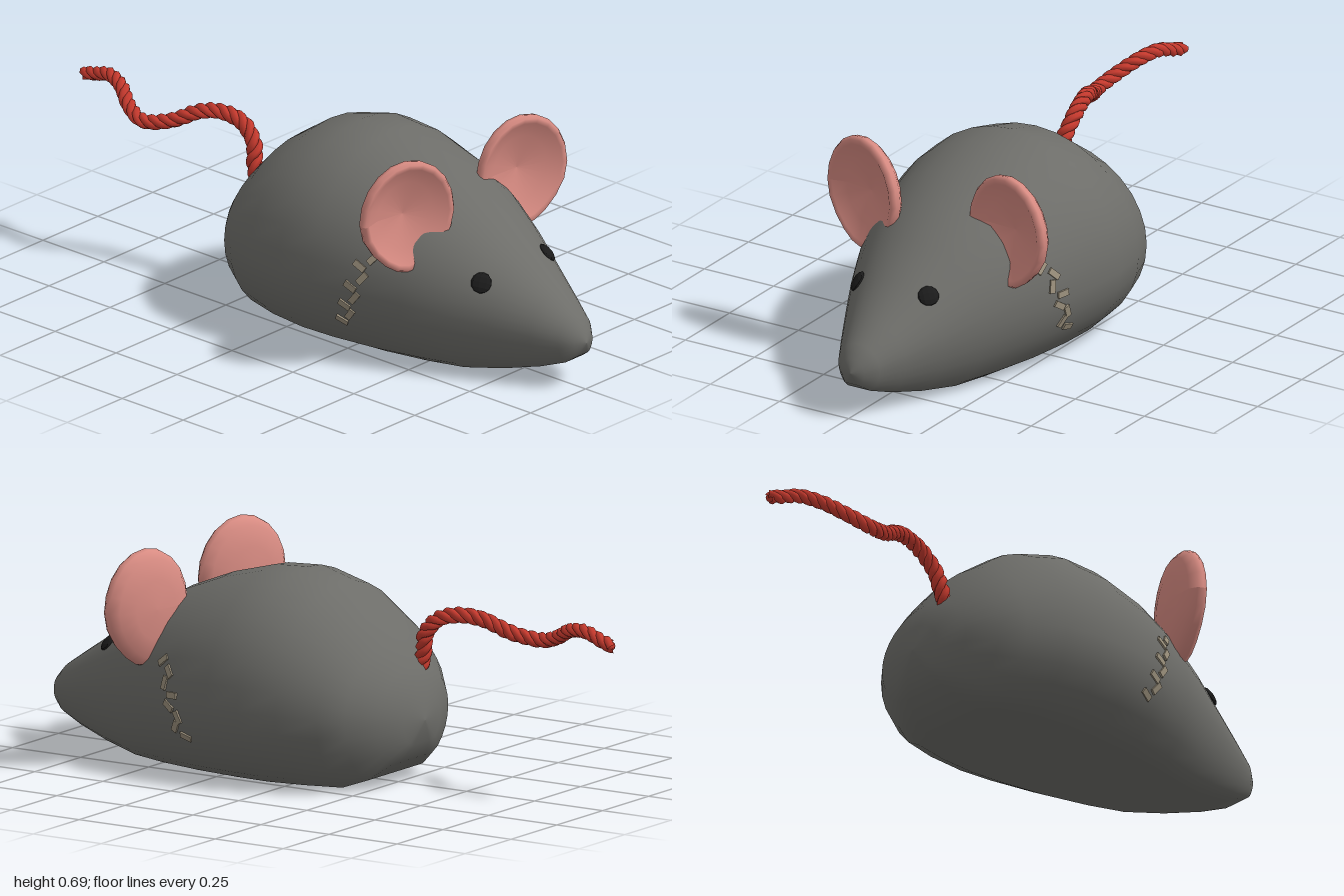
import * as THREE from 'three';

const mat = (name, color, extra = {}) => Object.assign(new THREE.MeshStandardMaterial({ color, ...extra }), { name });

// Body sections: x, bottom y, top y, widest y, half width
const SECTIONS = [
  [-0.352, 0.21, 0.21, 0.21, 0], [-0.34, 0.14, 0.29, 0.21, 0.1], [-0.305, 0.085, 0.37, 0.22, 0.195],
  [-0.24, 0.035, 0.445, 0.23, 0.275], [-0.17, 0.01, 0.52, 0.24, 0.325], [-0.05, 0.008, 0.602, 0.25, 0.372],
  [0.08, 0.005, 0.637, 0.25, 0.388], [0.2, 0.005, 0.63, 0.25, 0.38], [0.35, 0.005, 0.59, 0.245, 0.35],
  [0.5, 0.006, 0.53, 0.235, 0.298], [0.62, 0.01, 0.46, 0.215, 0.245], [0.75, 0.032, 0.37, 0.195, 0.18],
  [0.87, 0.062, 0.29, 0.175, 0.118], [0.95, 0.09, 0.235, 0.162, 0.075], [0.985, 0.115, 0.197, 0.155, 0.042],
  [1, 0.155, 0.155, 0.155, 0]
];

// Point on the body at a given x and angle around it (0 is +z, a quarter turn is up)
function surface(x, a) {
  let i = 0;
  while (i < SECTIONS.length - 2 && SECTIONS[i + 1][0] < x) i++;
  const p = SECTIONS[i], q = SECTIONS[i + 1];
  const t = (x - p[0]) / (q[0] - p[0]);
  const [, bottom, top, mid, half] = p.map((v, k) => v + (q[k] - v) * t);
  const s = Math.sin(a);
  const y = s > 0 ? mid + (top - mid) * s : Math.max(bottom, mid + 1.25 * (mid - bottom) * s);
  return new THREE.Vector3(x, y, half * Math.cos(a) - 0.006);
}

function surfaceNormal(x, a) {
  const dx = surface(x + 0.02, a).sub(surface(x - 0.02, a));
  const da = surface(x, a + 0.05).sub(surface(x, a - 0.05));
  return dx.cross(da).normalize();
}

function bodyGeometry(n = 32) {
  const pos = [], index = [];
  SECTIONS.forEach(([x], i) => {
    for (let j = 0; j < n; j++) {
      pos.push(...surface(x, j / n * Math.PI * 2).toArray());
      if (i === SECTIONS.length - 1) continue;
      const a = i * n + j, b = i * n + (j + 1) % n;
      index.push(a, a + n, b + n, a, b + n, b);
    }
  });
  const g = new THREE.BufferGeometry();
  g.setAttribute('position', new THREE.Float32BufferAttribute(pos, 3));
  g.setIndex(index);
  g.computeVertexNormals();
  return g;
}

// Cupped round ear facing +x, narrowing towards its root
function earGeometry() {
  const profile = [[0, -0.04], [0.5, -0.037], [0.85, -0.022], [0.98, 0], [1, 0.018], [0.95, 0.032],
    [0.86, 0.028], [0.6, 0.002], [0, -0.015]].map(([r, h]) => new THREE.Vector2(r, h));
  const g = new THREE.LatheGeometry(profile, 20).rotateZ(-Math.PI / 2);
  const p = g.attributes.position;
  for (let i = 0; i < p.count; i++) {
    const y = p.getY(i), pinch = y < 0 ? 1 - 0.3 * y * y : 1;
    p.setXYZ(i, p.getX(i), y * 0.183, p.getZ(i) * 0.163 * pinch);
  }
  g.computeVertexNormals();
  return g;
}

// One strand wound round the tail's path
function strandGeometry(path, phase) {
  const frames = path.computeFrenetFrames(160);
  const pts = [];
  for (let i = 0; i <= 160; i++) {
    const t = i / 160, a = phase + t * Math.PI * 2 * 9, r = 0.014 - 0.005 * t;
    pts.push(path.getPointAt(t)
      .addScaledVector(frames.normals[i], r * Math.cos(a))
      .addScaledVector(frames.binormals[i], r * Math.sin(a)));
  }
  return new THREE.TubeGeometry(new THREE.CatmullRomCurve3(pts), 180, 0.0135, 6);
}

export function createModel() {
  const grey = mat('greyFelt', 0x6d6d69);
  const pink = mat('pinkFelt', 0xd98c83);
  const red = mat('redCord', 0xc83a2e);
  const black = mat('blackBead', 0x1b1b1b, { flatShading: true });
  const beige = mat('beigeThread', 0x9c917d);
  const model = new THREE.Group();
  model.name = 'toyMouse';
  const add = (name, geometry, material, parent = model) => {
    const m = new THREE.Mesh(geometry, material);
    m.name = name;
    parent.add(m);
    return m;
  };

  add('body', bodyGeometry(), grey);

  // Ears, both turned the same way
  const ear = earGeometry();
  for (const [name, z, y, yaw] of [['rightEar', 0.257, 0.517, -0.32], ['leftEar', -0.265, 0.505, -0.24]]) {
    const m = add(name, ear, pink);
    m.position.set(0.49, y, z);
    m.rotation.y = yaw;
  }

  // Bead eyes pressed onto the head
  const bead = new THREE.SphereGeometry(0.033, 9, 6);
  for (const [name, x, a] of [['rightEye', 0.71, 0.66], ['leftEye', 0.735, Math.PI - 0.92]]) {
    const m = add(name, bead, black);
    m.position.copy(surface(x, a));
    m.quaternion.setFromUnitVectors(new THREE.Vector3(0, 0, 1), surfaceNormal(x, a));
    m.scale.z = 0.4;
  }

  // Twisted cord tail
  const path = new THREE.CatmullRomCurve3([
    [-0.28, 0.34, 0.07], [-0.3, 0.41, 0.065], [-0.31, 0.46, 0.055], [-0.36, 0.515, 0.05], [-0.43, 0.535, 0.065],
    [-0.5, 0.525, 0.09], [-0.58, 0.485, 0.13], [-0.67, 0.468, 0.162], [-0.74, 0.49, 0.145],
    [-0.81, 0.525, 0.105], [-0.88, 0.535, 0.08], [-0.95, 0.515, 0.07], [-0.995, 0.503, 0.065]
  ].map(p => new THREE.Vector3(...p)));
  const tail = new THREE.Group();
  tail.name = 'tail';
  model.add(tail);
  for (let k = 0; k < 3; k++) add('tailStrand', strandGeometry(path, k * Math.PI * 2 / 3), red, tail);
  const tip = add('tailTip', new THREE.SphereGeometry(0.016, 8, 6), red, tail);
  tip.position.set(-0.984, 0.504, 0.065);

  // Ragged stitches on each flank
  const stitch = new THREE.BoxGeometry(0.042, 0.02, 0.009);
  for (const side of [1, -1]) {
    const seam = new THREE.Group();
    seam.name = side > 0 ? 'rightStitches' : 'leftStitches';
    model.add(seam);
    for (let i = 0; i < 8; i++) {
      const a = -0.36 + i * 0.105, x = 0.3 + i * 0.011 + (i % 2) * 0.025;
      const angle = side > 0 ? a : Math.PI - a;
      const m = add('stitch', stitch, beige, seam);
      m.position.copy(surface(x, angle));
      m.quaternion.setFromUnitVectors(new THREE.Vector3(0, 0, 1), surfaceNormal(x, angle));
      m.rotateZ((i % 2 ? 0.9 : -0.5) * side);
    }
  }
  return model;
}
